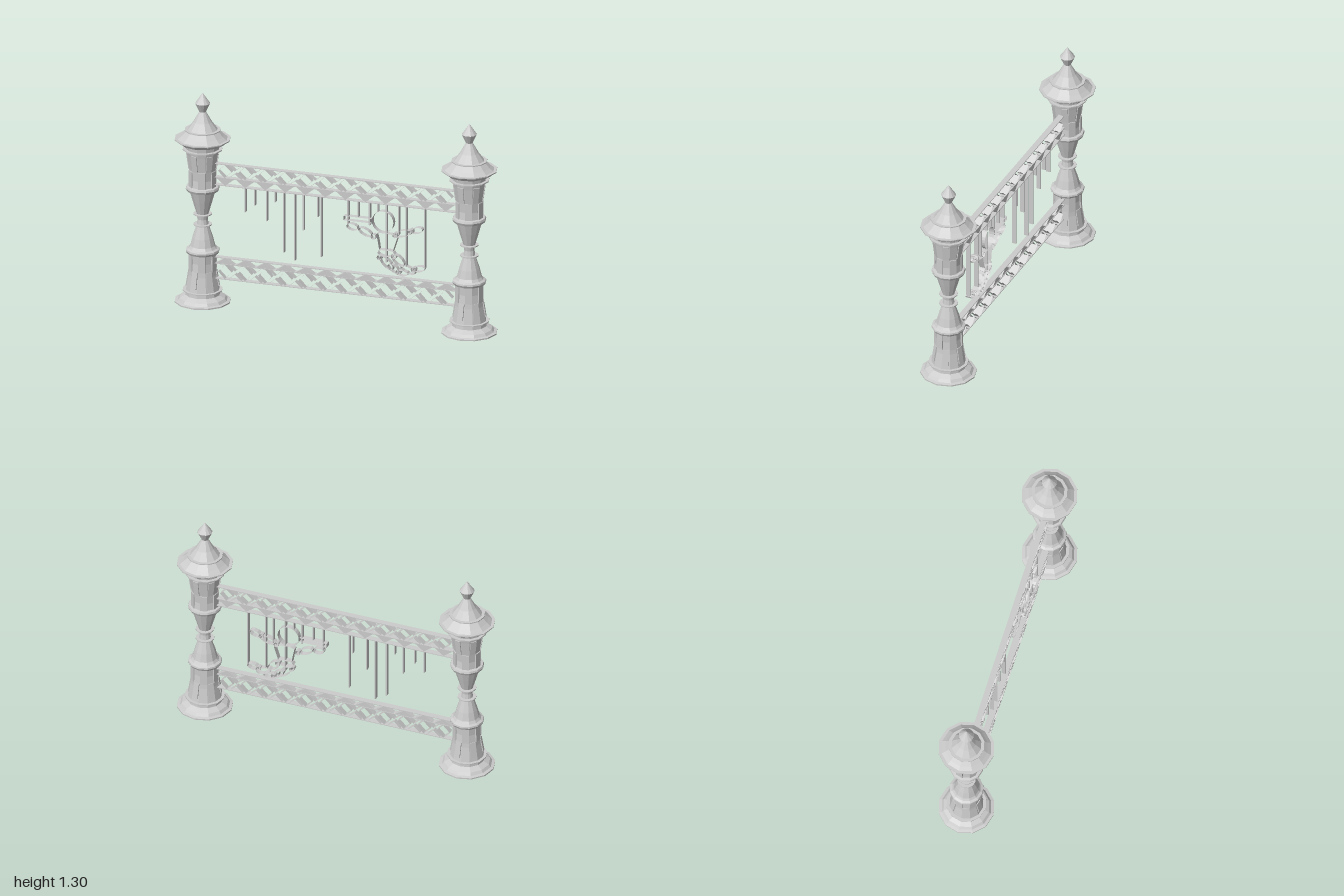
import * as THREE from 'three';

const grey = new THREE.MeshStandardMaterial({ color: 0xcccccc, flatShading: true, side: THREE.DoubleSide });
const DEPTH = 0.036;
const SIDES = 12;

function add(parent, name, geometry, x = 0, y = 0, z = 0) {
  const mesh = new THREE.Mesh(geometry, grey);
  mesh.name = name;
  mesh.position.set(x, y, z);
  parent.add(mesh);
  return mesh;
}

// Open band that follows a closed outline, running front to back
function band(points) {
  const pos = [], index = [], n = points.length;
  points.forEach(([x, y]) => pos.push(x, y, DEPTH / 2, x, y, -DEPTH / 2));
  for (let i = 0; i < n; i++) {
    const a = 2 * i, b = 2 * ((i + 1) % n);
    index.push(a, a + 1, b, b, a + 1, b + 1);
  }
  const g = new THREE.BufferGeometry();
  g.setAttribute('position', new THREE.Float32BufferAttribute(pos, 3));
  g.setIndex(index);
  g.computeVertexNormals();
  return g;
}

function ellipse(cx, cy, rx, ry, tilt = 0, n = 14) {
  const c = Math.cos(tilt), s = Math.sin(tilt);
  return Array.from({ length: n }, (_, i) => {
    const a = (i / n) * Math.PI * 2, u = rx * Math.cos(a), v = ry * Math.sin(a);
    return [cx + u * c - v * s, cy + u * s + v * c];
  });
}

// Slat lying on one facet of the post, leaning with its taper
function slat(post, facet, y0, r0, y1, r1, width) {
  const holder = new THREE.Group();
  holder.name = 'slat';
  holder.rotation.y = ((facet + 0.5) / SIDES) * Math.PI * 2;
  const k = Math.cos(Math.PI / SIDES);
  const box = add(holder, 'slatPanel', new THREE.BoxGeometry(width, Math.hypot(y1 - y0, r1 - r0), 0.008),
    0, (y0 + y1) / 2, k * (r0 + r1) / 2);
  box.rotation.x = Math.atan2(k * (r1 - r0), y1 - y0);
  post.add(holder);
}

function createPost() {
  const post = new THREE.Group();
  const profile = [
    [0, 0], [0.168, 0], [0.168, 0.008], [0.15, 0.012], [0.138, 0.028], [0.105, 0.046],
    [0.102, 0.075], [0.085, 0.17], [0.077, 0.25], [0.08, 0.305],
    [0.095, 0.305], [0.102, 0.318], [0.1, 0.328], [0.085, 0.335],
    [0.075, 0.35], [0.062, 0.4], [0.036, 0.48], [0.031, 0.515], [0.036, 0.55],
    [0.06, 0.63], [0.077, 0.69],
    [0.095, 0.695], [0.102, 0.71], [0.098, 0.722], [0.08, 0.725],
    [0.075, 0.77], [0.08, 0.83], [0.093, 0.92], [0.1, 0.957], [0.104, 0.985],
    [0.135, 0.992], [0.152, 1.015], [0.15, 1.022], [0.128, 1.04], [0.092, 1.075],
    [0.055, 1.125], [0.02, 1.187], [0.045, 1.24], [0, 1.305],
  ].map(([r, y]) => new THREE.Vector2(r, y));
  add(post, 'postBody', new THREE.LatheGeometry(profile, SIDES));
  // Thin collars
  [[0.12, 0.074], [0.056, 0.482], [0.056, 0.547], [0.12, 0.956], [0.168, 1.019], [0.108, 1.075]]
    .forEach(([r, y]) => add(post, 'collar', new THREE.CylinderGeometry(r, r, 0.006, SIDES), 0, y));
  // Alternating long and short panels around both drums
  for (let i = 0; i < SIDES; i++) {
    if (i % 2) {
      slat(post, i, 0.1, 0.1, 0.2, 0.083, 0.036);
      slat(post, i, 0.83, 0.082, 0.93, 0.096, 0.036);
    } else {
      slat(post, i, 0.2, 0.083, 0.305, 0.081, 0.042);
      slat(post, i, 0.725, 0.081, 0.825, 0.081, 0.042);
    }
  }
  return post;
}

// Rail: open lattice between yA and yB, toothed border between yB and yC
function createRail(yA, yB, yC) {
  const rail = new THREE.Group();
  [yA, yB, yC].forEach((y) => add(rail, 'railStrip', new THREE.BoxGeometry(1.52, 0.004, DEPTH), 0, y));
  const pitch = 0.125, mid = (yA + yB) / 2, h = Math.abs(yA - yB) / 2;
  for (let i = 0; i < 12; i++) {
    const x = (i - 5.5) * pitch;
    add(rail, 'latticeDiamond', band([[x - 0.043, mid], [x, mid - h + 0.003], [x + 0.043, mid], [x, mid + h - 0.003]]));
    if (i < 11) {
      const m = x + pitch / 2;
      for (const s of [-1, 1]) {
        add(rail, 'latticeTriangle', band([[m - 0.043, mid + s * h], [m + 0.043, mid + s * h], [m, mid + s * 0.009]]));
      }
    }
    const tooth = new THREE.Shape([[x - 0.06, yB], [x + 0.06, yB], [x, yC]].map(([a, b]) => new THREE.Vector2(a, b)));
    add(rail, 'borderTooth', new THREE.ExtrudeGeometry(tooth, { depth: DEPTH * 0.8, bevelEnabled: false }), 0, 0, -DEPTH * 0.4);
  }
  return rail;
}

// Jointed figure drawn with open bands
function createPuppet() {
  const puppet = new THREE.Group();
  const part = (name, points) => add(puppet, name, band(points));
  part('head', ellipse(0.297, 0.631, 0.067, 0.067, 0, 24));
  part('handBar', [[0.052, 0.615], [0.225, 0.615], [0.225, 0.642], [0.052, 0.642]]);
  part('torso', [[0.257, 0.552], [0.28, 0.562], [0.36, 0.558], [0.388, 0.54], [0.372, 0.49], [0.36, 0.455], [0.275, 0.455], [0.268, 0.5]]);
  // Limb segments: centre, radii, tilt
  [
    ['rightHand', 0.105, 0.576, 0.036, 0.02, -0.2],
    ['rightForearm', 0.185, 0.553, 0.046, 0.02, -0.45],
    ['leftUpperArm', 0.425, 0.572, 0.055, 0.02, 0.3],
    ['leftHand', 0.51, 0.6, 0.036, 0.019, 0.3],
    ['hips', 0.318, 0.437, 0.055, 0.022, 0],
    ['rightThigh', 0.318, 0.375, 0.055, 0.023, -0.75],
    ['rightShin', 0.362, 0.345, 0.04, 0.02, -0.6],
    ['rightFoot', 0.42, 0.322, 0.036, 0.017, 0.05],
    ['leftThigh', 0.39, 0.4, 0.05, 0.024, -0.7],
    ['leftShin', 0.452, 0.347, 0.05, 0.02, -0.4],
    ['leftFoot', 0.523, 0.36, 0.037, 0.018, 0.2],
  ].forEach(([name, x, y, rx, ry, t]) => part(name, ellipse(x, y, rx, ry, t, 10)));
  [[0.238, 0.53], [0.373, 0.555], [0.275, 0.405], [0.365, 0.422], [0.47, 0.59], [0.392, 0.325], [0.488, 0.352]]
    .forEach(([x, y]) => part('joint', ellipse(x, y, 0.016, 0.016, 0, 8)));
  return puppet;
}

export function createModel() {
  const model = new THREE.Group();
  model.name = 'railing';
  for (const s of [-1, 1]) {
    const post = createPost();
    post.name = s > 0 ? 'leftPost' : 'rightPost';
    post.position.x = s * 0.832;
    model.add(post);
  }
  const upper = createRail(0.875, 0.79, 0.743);
  upper.name = 'upperRail';
  const lower = createRail(0.156, 0.25, 0.288);
  lower.name = 'lowerRail';
  const puppet = createPuppet();
  puppet.name = 'puppet';
  model.add(upper, lower, puppet);
  // Hanging strings: x and lower end
  [
    [-0.564, 0.59], [-0.503, 0.64], [-0.43, 0.55], [-0.377, 0.675], [-0.324, 0.365], [-0.254, 0.325],
    [-0.2, 0.52], [-0.11, 0.615], [-0.088, 0.365],
    [0.078, 0.59], [0.142, 0.642], [0.212, 0.6], [0.265, 0.69], [0.318, 0.38], [0.395, 0.56], [0.442, 0.365], [0.556, 0.37],
  ].forEach(([x, y]) => add(model, 'string', new THREE.BoxGeometry(0.007, 0.743 - y, 0.026), x, (0.743 + y) / 2));
  return model;
}
